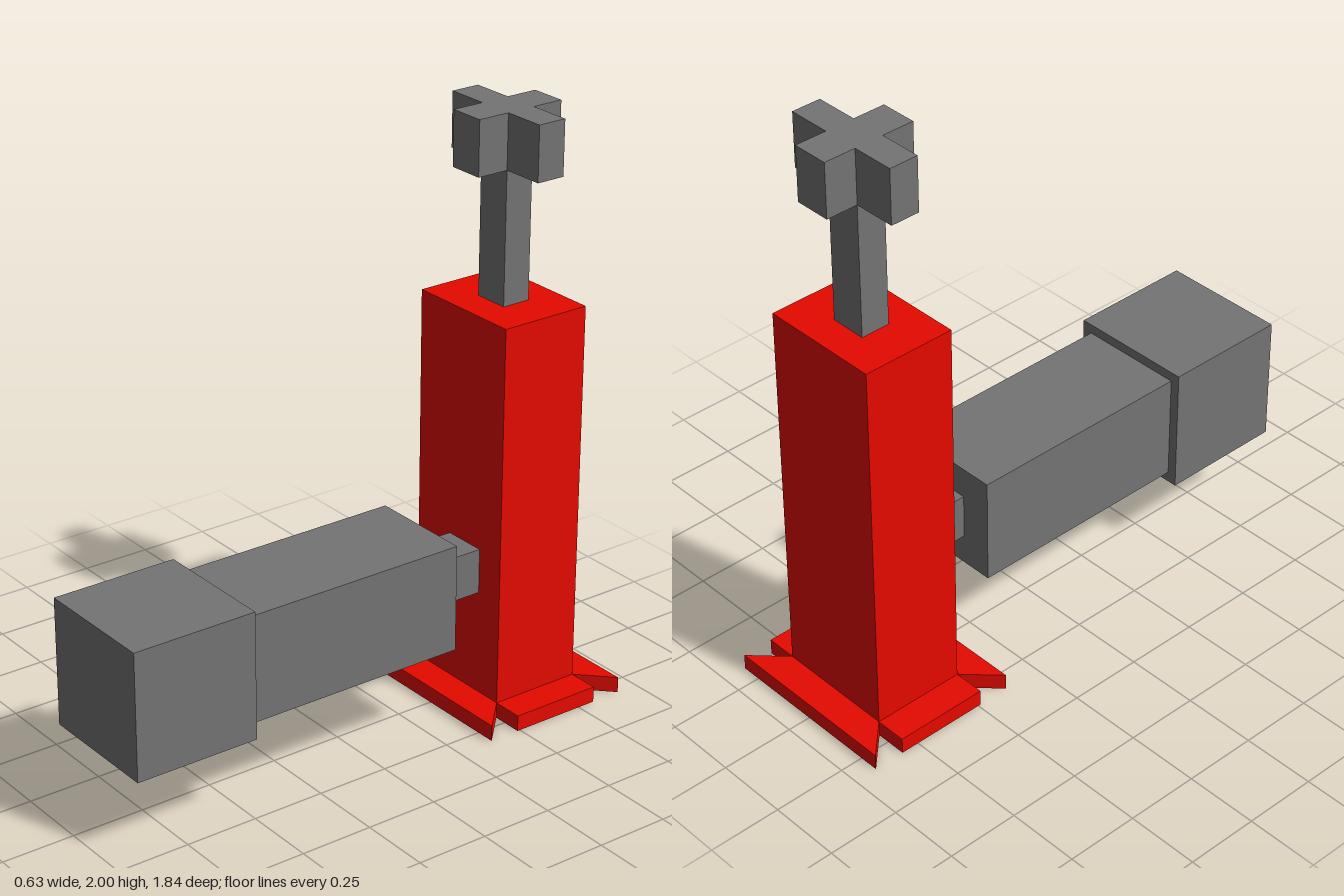
import * as THREE from 'three';

export function createModel() {
  const model = new THREE.Group();
  const red = new THREE.MeshStandardMaterial({ color: 0xe50a00, flatShading: true });
  const darkGrey = new THREE.MeshStandardMaterial({ color: 0x747474, flatShading: true });

  const add = (name, geometry, material) => {
    const mesh = new THREE.Mesh(geometry, material);
    mesh.name = name;
    model.add(mesh);
  };

  // Box given by its [min, max] along each axis
  const block = (name, material, [x0, x1], [y0, y1], [z0, z1]) => add(name,
    new THREE.BoxGeometry(x1 - x0, y1 - y0, z1 - z0)
      .translate((x0 + x1) / 2, (y0 + y1) / 2, (z0 + z1) / 2), material);

  // Plan outline of [x, z] points raised from y0 to y1
  const slab = (name, material, outline, y0, y1) => {
    const shape = new THREE.Shape(outline.map(([x, z]) => new THREE.Vector2(x, -z)));
    add(name, new THREE.ExtrudeGeometry(shape, { depth: y1 - y0, bevelEnabled: false })
      .rotateX(-Math.PI / 2).translate(0, y0, 0), material);
  };

  // Foot with notched corners
  const side = [[0.317, -0.382], [0.209, -0.49], [0.317, -0.49],
    [0.317, -0.813], [0.209, -0.813], [0.317, -0.92]];
  const mirrored = side.map(([x, z]) => [-x, z]).reverse();
  slab('baseFlange', red, [...side, ...mirrored], 0, 0.055);

  // Upright column and its stem
  block('column', red, [-0.209, 0.209], [0.055, 1.365], [-0.813, -0.49]);
  block('stem', darkGrey, [-0.063, 0.062], [1.365, 1.815], [-0.703, -0.602]);

  // Cross-shaped handle on top
  slab('crossHandle', darkGrey, [
    [-0.063, -0.49], [0.062, -0.49], [0.062, -0.602], [0.209, -0.602],
    [0.209, -0.703], [0.062, -0.703], [0.062, -0.813], [-0.063, -0.813],
    [-0.063, -0.703], [-0.209, -0.703], [-0.209, -0.602], [-0.063, -0.602],
  ], 1.815, 2);

  // Side arm: narrow link, barrel, wider end block
  block('armLink', darkGrey, [-0.048, 0.105], [0.415, 0.57], [-0.49, -0.31]);
  block('armBarrel', darkGrey, [-0.157, 0.212], [0.31, 0.677], [-0.31, 0.488]);
  block('armHead', darkGrey, [-0.19, 0.247], [0.274, 0.71], [0.488, 0.92]);

  return model;
}
